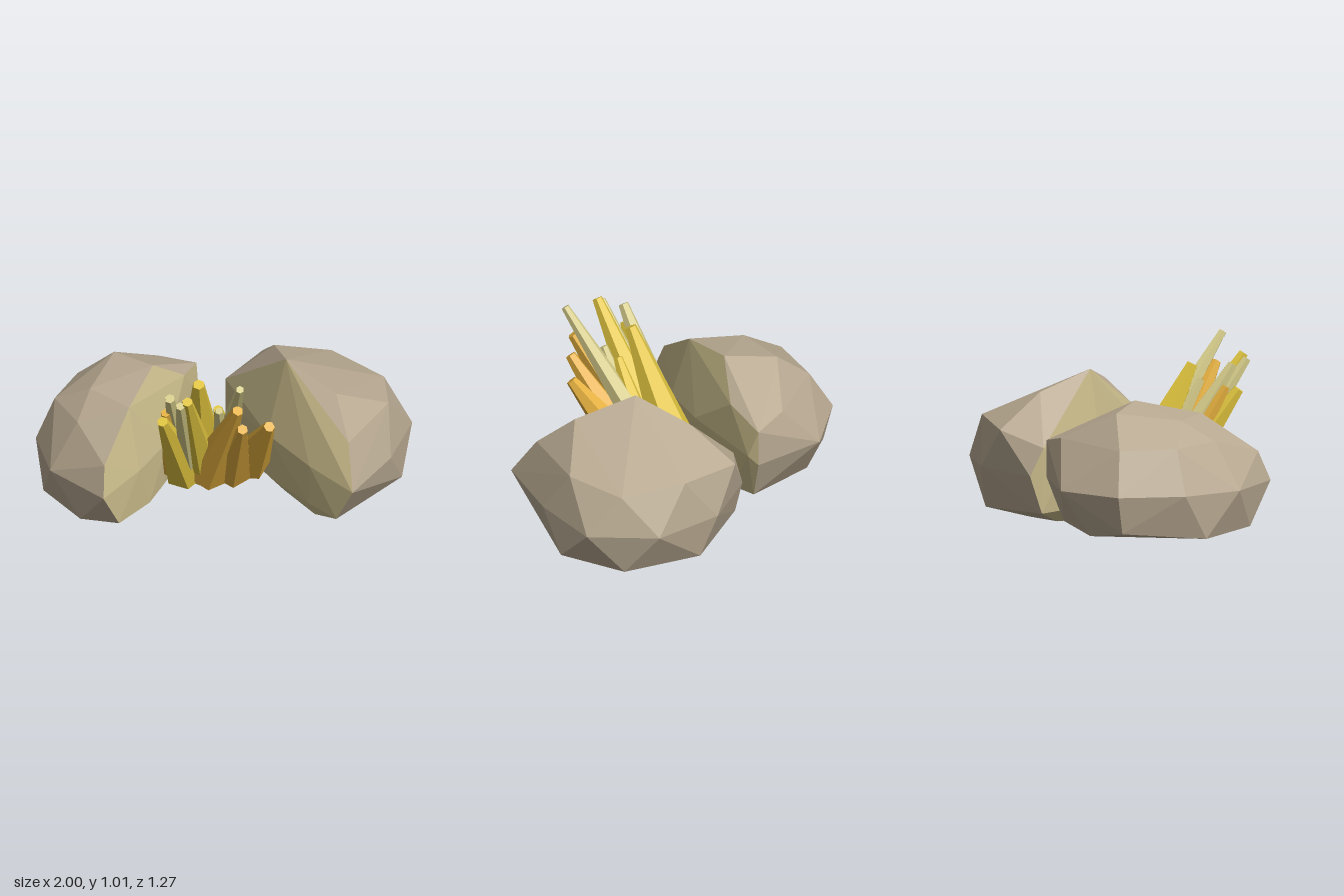
import * as THREE from 'three';
import { ConvexGeometry } from 'three/addons/geometries/ConvexGeometry.js';

const mat = (name, color) => {
  const m = new THREE.MeshStandardMaterial({ color, flatShading: true });
  m.name = name;
  return m;
};

// Faceted boulder half: hull faces looking along "inward" get the inner colour
function boulder(name, points, inward, shell, inner) {
  const hull = new ConvexGeometry(points.map(p => new THREE.Vector3(...p)));
  const pos = hull.attributes.position;
  const tri = new THREE.Triangle(), n = new THREE.Vector3();
  const sides = [[], []];
  for (let i = 0; i < pos.count; i += 3) {
    tri.setFromAttributeAndIndices(pos, i, i + 1, i + 2);
    tri.getNormal(n);
    sides[n.dot(inward) > 0.62 ? 1 : 0].push(i, i + 1, i + 2);
  }
  hull.setIndex([...sides[0], ...sides[1]]);
  hull.addGroup(0, sides[0].length, 0);
  hull.addGroup(sides[0].length, sides[1].length, 1);
  const mesh = new THREE.Mesh(hull, [shell, inner]);
  mesh.name = name;
  return mesh;
}

// Tapered six-sided crystal from base to tip, turned about its own axis
function crystal(name, material, base, tip, baseRadius, tipRadius, turn = 0) {
  const a = new THREE.Vector3(...base), b = new THREE.Vector3(...tip);
  const dir = b.clone().sub(a);
  const mesh = new THREE.Mesh(
    new THREE.CylinderGeometry(tipRadius, baseRadius, dir.length(), 6).rotateY(turn), material);
  mesh.position.copy(a).add(b).multiplyScalar(0.5);
  mesh.quaternion.setFromUnitVectors(new THREE.Vector3(0, 1, 0), dir.normalize());
  mesh.name = name;
  return mesh;
}

export function createModel() {
  const group = new THREE.Group();
  group.name = 'splitGeode';
  const shell = mat('stone shell', 0xb9aa92);
  const inner = mat('stone interior', 0xc8ba8a);
  const amber = mat('amber crystal', 0xe2ae3e);
  const yellow = mat('yellow crystal', 0xe0c43e);
  const pale = mat('pale crystal', 0xd6cc8a);

  // Left half
  group.add(boulder('leftBoulder', [
    // upper shell
    [0.32, 0.805, -0.02], [0.57, 0.71, 0.2], [0.62, 0.53, 0.41], [0.28, 0.71, -0.34],
    [0.86, 0.55, 0.04], [0.86, 0.52, -0.29], [0.6, 0.56, -0.52], [0.24, 0.53, -0.6],
    // girdle
    [0.63, 0.31, 0.565], [0.86, 0.31, 0.21], [1, 0.31, -0.16], [0.8, 0.31, -0.49],
    [0.43, 0.31, -0.615], [0.05, 0.3, -0.52], [0.03, 0.45, -0.45],
    // underside
    [0.55, 0.1, 0.47], [0.93, 0.1, 0.05], [0.85, 0.07, -0.3], [0.5, 0.08, -0.55],
    [0.03, 0.1, -0.46], [0.45, 0.025, 0.28], [0.31, 0.005, -0.02], [0.4, 0.025, -0.34],
    [0.16, 0.03, -0.3],
    // bulging inner face
    [0.22, 0.36, 0], [0.42, 0.33, 0.3], [0.09, 0.33, -0.29],
    [0.24, 0.09, 0], [0.42, 0.09, 0.28],
  ], new THREE.Vector3(-0.86, 0, 0.51), shell, inner));

  // Right half
  group.add(boulder('rightBoulder', [
    // upper shell
    [-0.57, 0.71, -0.33], [-0.38, 0.74, -0.12], [-0.53, 0.67, 0.2], [-0.68, 0.47, 0.46],
    [-0.72, 0.67, -0.02], [-0.9, 0.55, -0.14], [-0.8, 0.56, 0.14], [-0.32, 0.56, -0.53],
    [-0.76, 0.54, -0.41], [-0.2, 0.58, -0.28], [-0.12, 0.52, -0.51],
    // girdle
    [-0.69, 0.31, 0.53], [-0.95, 0.31, 0.21], [-1, 0.31, -0.14], [-0.88, 0.31, -0.48],
    [-0.52, 0.31, -0.635], [-0.12, 0.32, -0.51], [-0.11, 0.36, -0.45],
    // underside
    [-0.6, 0.1, 0.43], [-0.8, 0.09, 0.35], [-0.97, 0.07, 0], [-0.85, 0.11, -0.44],
    [-0.6, 0.07, -0.5], [-0.18, 0.09, -0.44], [-0.62, 0.025, 0.1], [-0.41, 0.005, -0.05],
    [-0.28, 0.03, -0.25],
    // bulging inner face
    [-0.31, 0.35, 0.02], [-0.48, 0.33, 0.28], [-0.2, 0.33, -0.24],
    [-0.33, 0.1, 0.03], [-0.42, 0.08, 0.19], [-0.19, 0.1, -0.3],
  ], new THREE.Vector3(0.86, 0, 0.51), shell, inner));

  // Crystal cluster: base, tip, base radius, tip radius, turn
  const cluster = new THREE.Group();
  cluster.name = 'crystalCluster';
  const sets = [
    ['amberCrystal', amber, [
      [[-0.11, 0.265, 0.2], [0.02, 0.845, 0.575], 0.115, 0.03],
      [[0.02, 0.265, 0.19], [0.045, 0.73, 0.575], 0.105, 0.029],
      [[0.11, 0.275, 0.12], [0.195, 0.68, 0.47], 0.115, 0.03, Math.PI / 6],
      [[-0.275, 0.28, 0.16], [-0.355, 0.77, 0.44], 0.08, 0.025],
    ]],
    ['yellowCrystal', yellow, [
      [[-0.125, 0.265, 0.015], [-0.17, 0.875, 0.335], 0.125, 0.032],
      [[-0.23, 0.265, 0.18], [-0.375, 0.755, 0.505], 0.115, 0.03],
      [[-0.15, 0.265, 0.16], [-0.25, 0.925, 0.6], 0.11, 0.028],
      [[0.02, 0.265, 0.09], [-0.07, 0.73, 0.35], 0.09, 0.025],
    ]],
    ['paleCrystal', pale, [
      [[-0.02, 0.275, 0.08], [0.028, 1.0, 0.62], 0.085, 0.022],
      [[-0.23, 0.28, 0.11], [-0.335, 0.885, 0.49], 0.09, 0.028],
      [[-0.2, 0.28, 0.18], [-0.288, 0.9, 0.6], 0.085, 0.024],
      [[-0.03, 0.255, 0.16], [-0.07, 0.77, 0.44], 0.07, 0.022],
    ]],
  ];
  for (const [name, material, list] of sets)
    list.forEach((c, i) => cluster.add(crystal(name + (i + 1), material, ...c)));
  group.add(cluster);
  return group;
}
